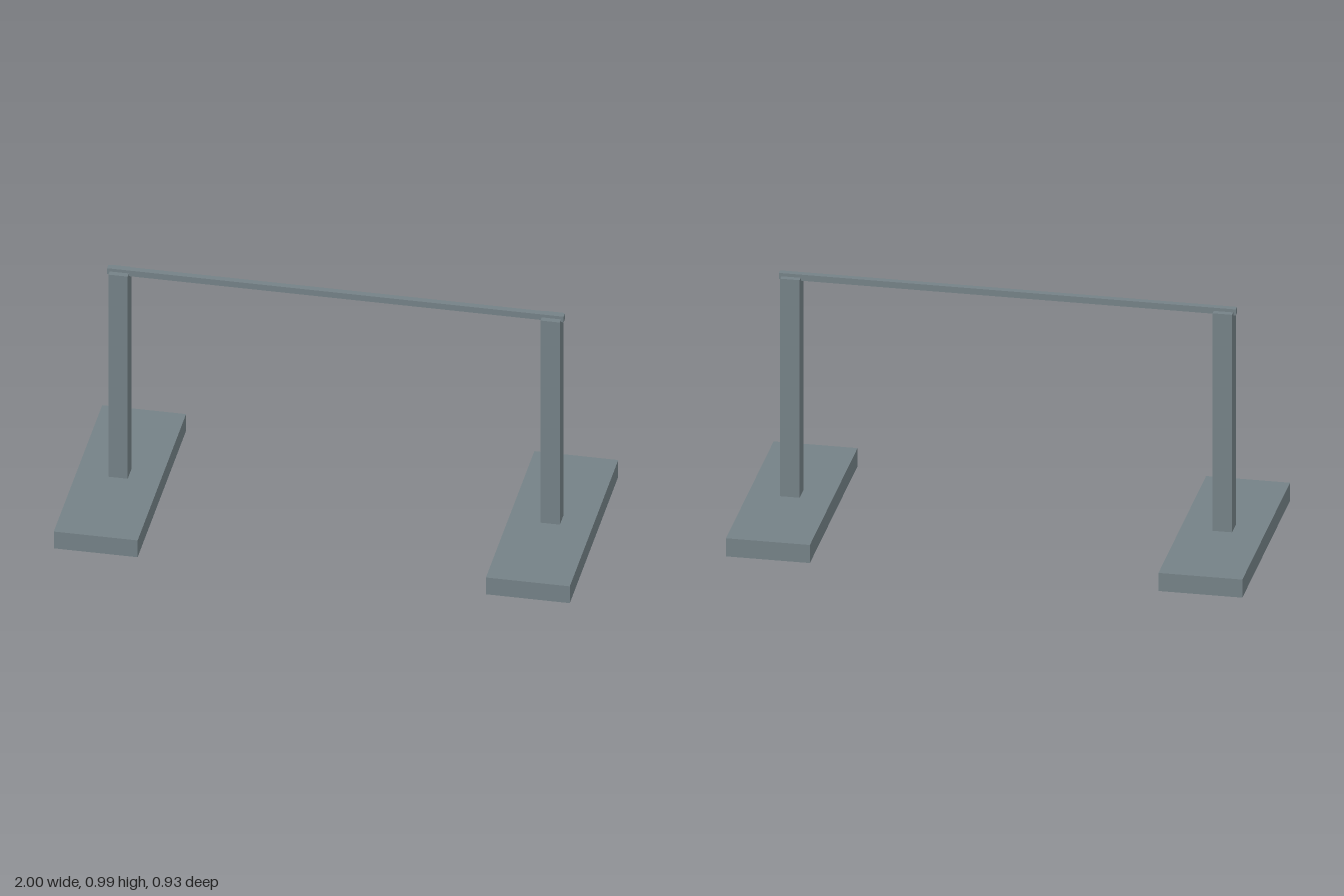
import * as THREE from 'three';

export function createModel() {
  const group = new THREE.Group();
  const slateGrey = new THREE.MeshStandardMaterial({ color: 0x748186 });
  slateGrey.name = 'slateGrey';

  // Box centred on z = 0, placed by its x centre and bottom height
  const addBox = (name, w, h, d, x, bottom) => {
    const mesh = new THREE.Mesh(new THREE.BoxGeometry(w, h, d), slateGrey);
    mesh.name = name;
    mesh.position.set(x, bottom + h / 2, 0);
    group.add(mesh);
  };

  // Base slab and upright on each side
  for (const [side, s] of [['left', 1], ['right', -1]]) {
    addBox(side + 'Base', 0.325, 0.075, 0.93, s * 0.8375, 0);
    addBox(side + 'Post', 0.075, 0.903, 0.072, s * 0.8375, 0.075);
  }

  // Slim crossbar let into the post tops
  addBox('crossbar', 1.77, 0.025, 0.025, 0, 0.966);

  return group;
}
